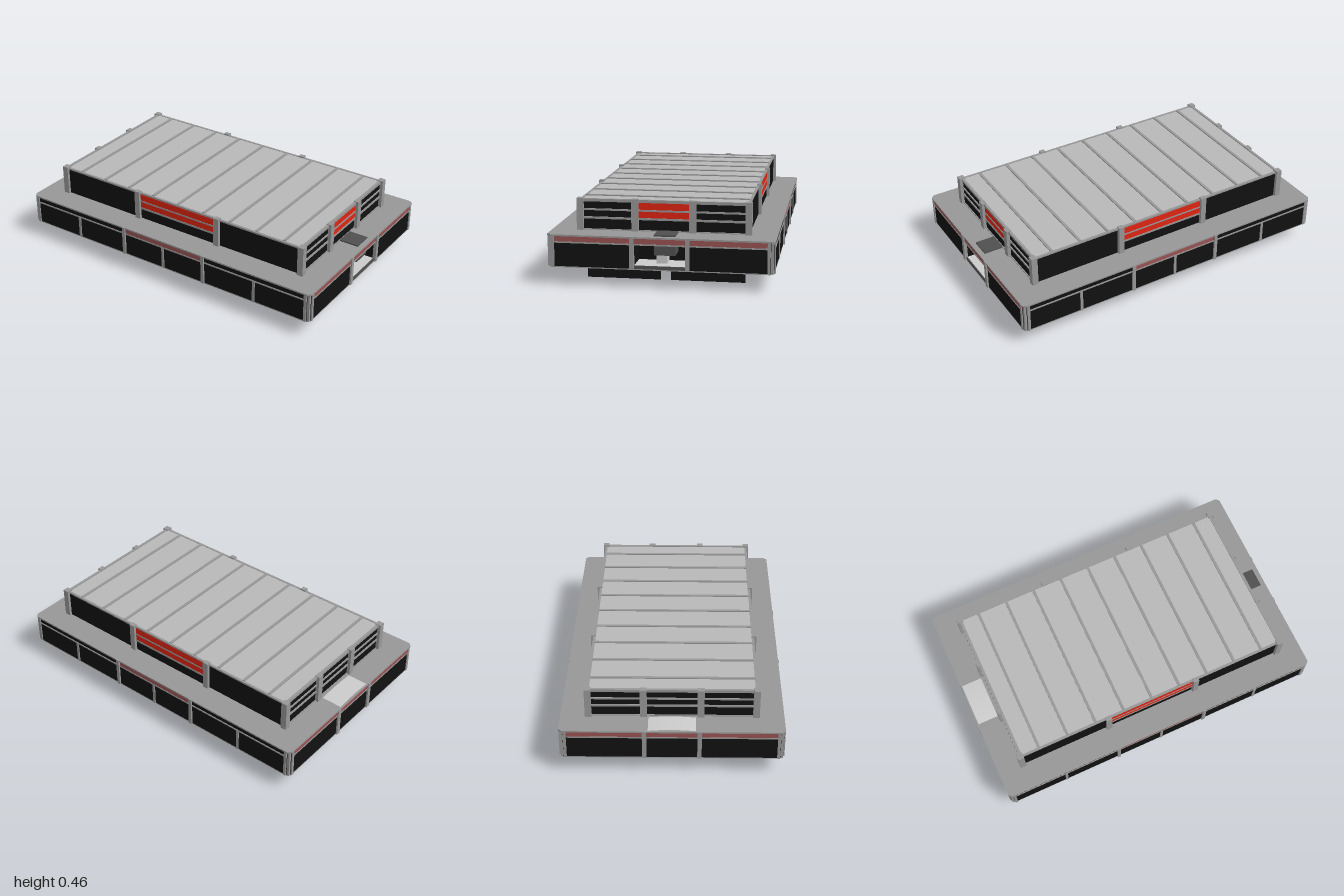
import * as THREE from 'three';

const mat = (color) => new THREE.MeshStandardMaterial({ color, flatShading: true });
const M = {
  black: mat(0x111111), trim: mat(0x979797), deck: mat(0x979797), roof: mat(0xb8b8b8),
  red: mat(0xe02412), dull: mat(0x9a5252), dark: mat(0x505050), light: mat(0xcccccc),
};

export function createModel() {
  const model = new THREE.Group();
  model.name = 'lowBuilding';

  // Box given by its extents along each axis
  const box = (name, m, [x0, x1], [y0, y1], [z0, z1]) => {
    const mesh = new THREE.Mesh(new THREE.BoxGeometry(x1 - x0, y1 - y0, z1 - z0), m);
    mesh.position.set((x0 + x1) / 2, (y0 + y1) / 2, (z0 + z1) / 2);
    mesh.name = name;
    model.add(mesh);
    return mesh;
  };
  const around = (c, half) => [c - half, c + half];
  // Range lying just outside a wall at distance d, on side s
  const skin = (s, d, t) => (s > 0 ? [d - 0.01, d + t] : [-d - t, -d + 0.01]);

  // Plan slab with chamfered corners and an optional notch in the front edge
  const slab = (name, m, w, l, y0, y1, notch) => {
    const c = 0.02;
    const pts = [[-w + c, -l], [w - c, -l], [w, -l + c], [w, l - c], [w - c, l]];
    if (notch) pts.push([0.14, l], [0.14, 0.82], [-0.14, 0.82], [-0.14, l]);
    pts.push([-w + c, l], [-w, l - c], [-w, -l + c]);
    const shape = new THREE.Shape(pts.map((p) => new THREE.Vector2(...p)));
    const geo = new THREE.ExtrudeGeometry(shape, { depth: y1 - y0, bevelEnabled: false });
    geo.rotateX(Math.PI / 2).translate(0, y1, 0);
    const mesh = new THREE.Mesh(geo, m);
    mesh.name = name;
    model.add(mesh);
  };

  // Lower storey
  const W = 0.608, L = 0.975;
  slab('bottomPlate', M.deck, W, L, 0.1, 0.106);
  slab('lowerWalls', M.black, W, L, 0.106, 0.274, true);
  slab('deck', M.deck, W + 0.006, L + 0.006, 0.272, 0.281);

  // Front entrance: floor, sill, step and the dark shaft through the deck
  box('entranceFloor', M.light, [-0.14, 0.14], [0.106, 0.122], [0.82, L - 0.004]);
  box('entranceSill', M.dark, [-0.14, 0.14], [0.106, 0.124], [L - 0.006, L]);
  box('entranceStep', M.light, [-0.03, 0.028], [0.12, 0.178], [0.83, 0.9]);
  box('entranceShaft', M.dark, [-0.035, 0.08], [0.178, 0.289], [0.835, 0.95]);
  box('entranceLintel', M.black, [-0.14, 0.14], [0.235, 0.274], [0.95, L]);

  for (const s of [-1, 1]) {
    // Ledge and coloured bands on the ends
    box('endLedge', M.trim, [-W + 0.02, W - 0.02], [0.235, 0.243], skin(s, L, 0.004));
    for (const [c, h] of [[-0.374, 0.216], [0, 0.14], [0.374, 0.216]])
      box('endBand', M.dull, around(c, h), [0.243, 0.272], skin(s, L, 0.002));
    for (const x of [-0.15, 0.15])
      box('endPilaster', M.trim, around(x, 0.012), [0.104, 0.281], skin(s, L, 0.01));
    // Ledge, centre band and strips on the long sides
    box('sideLedge', M.trim, skin(s, W, 0.004), [0.235, 0.243], [-L + 0.02, L - 0.02]);
    box('sideBand', M.dull, skin(s, W, 0.002), [0.243, 0.272], [-0.268, 0.268]);
    for (const z of [-0.28, 0.28])
      box('sidePilaster', M.trim, skin(s, W, 0.01), [0.104, 0.281], around(z, 0.01));
    for (const z of [-0.62, 0, 0.62])
      box('sideStrip', M.trim, skin(s, W, 0.005), [0.104, 0.237], around(z, 0.008));
    // Corner strips
    for (const e of [-1, 1]) {
      box('cornerEndStrip', M.trim, around(s * (W - 0.027), 0.008), [0.104, 0.276], skin(e, L, 0.006));
      box('cornerSideStrip', M.trim, skin(s, W, 0.006), [0.104, 0.276], around(e * (L - 0.027), 0.008));
      box('cornerPost', M.trim, around(s * (W - 0.013), 0.01), [0.104, 0.276], around(e * (L - 0.013), 0.01));
    }
  }

  // Upper storey
  const w = 0.462, l = 0.83;
  box('upperWalls', M.black, [-w, w], [0.278, 0.444], [-l, l]);
  box('roof', M.roof, [-w + 0.008, w - 0.008], [0.44, 0.448], [-l + 0.008, l - 0.008]);
  for (let i = -4; i <= 4; i++)
    box('roofRib', M.trim, [-w + 0.008, w - 0.008], [0.445, 0.454], around(i * 0.1785, 0.008));

  for (const s of [-1, 1]) {
    for (const y of [[0.281, 0.287], [0.342, 0.354], [0.389, 0.399], [0.437, 0.453]])
      box('endRail', M.trim, [-w, w], y, skin(s, l, 0.006));
    for (const x of [-0.157, 0.157])
      box('endPost', M.trim, around(x, 0.019), [0.28, 0.457], skin(s, l, 0.02));
    box('sideTopRail', M.trim, skin(s, w, 0.004), [0.44, 0.45], [-l, l]);
    for (const z of [-0.28, 0.28])
      box('sidePost', M.trim, skin(s, w, 0.018), [0.28, 0.457], around(z, 0.017));
    for (const y of [[0.342, 0.354], [0.39, 0.399]])
      box('sideRail', M.trim, skin(s, w, 0.005), y, [-0.27, 0.27]);
    for (const y of [[0.354, 0.39], [0.399, 0.438]]) {
      box('sideRedPanel', M.red, skin(s, w, 0.003), y, [-0.265, 0.265]);
      if (s > 0) box('frontRedPanel', M.red, [-0.14, 0.14], y, skin(1, l, 0.003));
    }
    for (const e of [-1, 1])
      box('upperCornerPost', M.trim, around(s * 0.46, 0.018), [0.28, 0.457], around(e * 0.832, 0.018));
  }

  // Shallow curved panel on the rear deck
  const arc = new THREE.PlaneGeometry(0.26, 0.122, 16, 1).rotateX(-Math.PI / 2);
  const p = arc.attributes.position;
  for (let i = 0; i < p.count; i++) p.setY(i, 0.007 * (1 - (p.getX(i) / 0.13) ** 2));
  arc.computeVertexNormals();
  const panel = new THREE.Mesh(arc, new THREE.MeshStandardMaterial({ color: 0xcccccc, side: THREE.DoubleSide }));
  panel.position.set(0, 0.282, -0.913);
  panel.name = 'curvedRearPanel';
  model.add(panel);

  // Underside: hanging flaps, shallow slabs and small pads
  for (const s of [-1, 1])
    box('hangingFlap', M.black, s > 0 ? [0.028, 0.438] : [-0.438, -0.028], [0, 0.102], [0.767, 0.781]);
  box('undersideStrip', M.black, [-0.438, 0.438], [0.09, 0.102], [0.6, 0.72]);
  box('undersidePlate', M.deck, [-0.22, 0.22], [0.096, 0.102], [-0.37, 0.06]);
  for (const x of [-0.46, 0.46])
    for (const z of [-0.83, -0.28, 0.28, 0.83])
      box('undersidePad', M.trim, around(x, 0.018), [0.098, 0.102], around(z, 0.018));

  // The whole building stands slightly turned
  model.rotation.y = 0.028;
  const root = new THREE.Group();
  root.add(model);
  return root;
}
